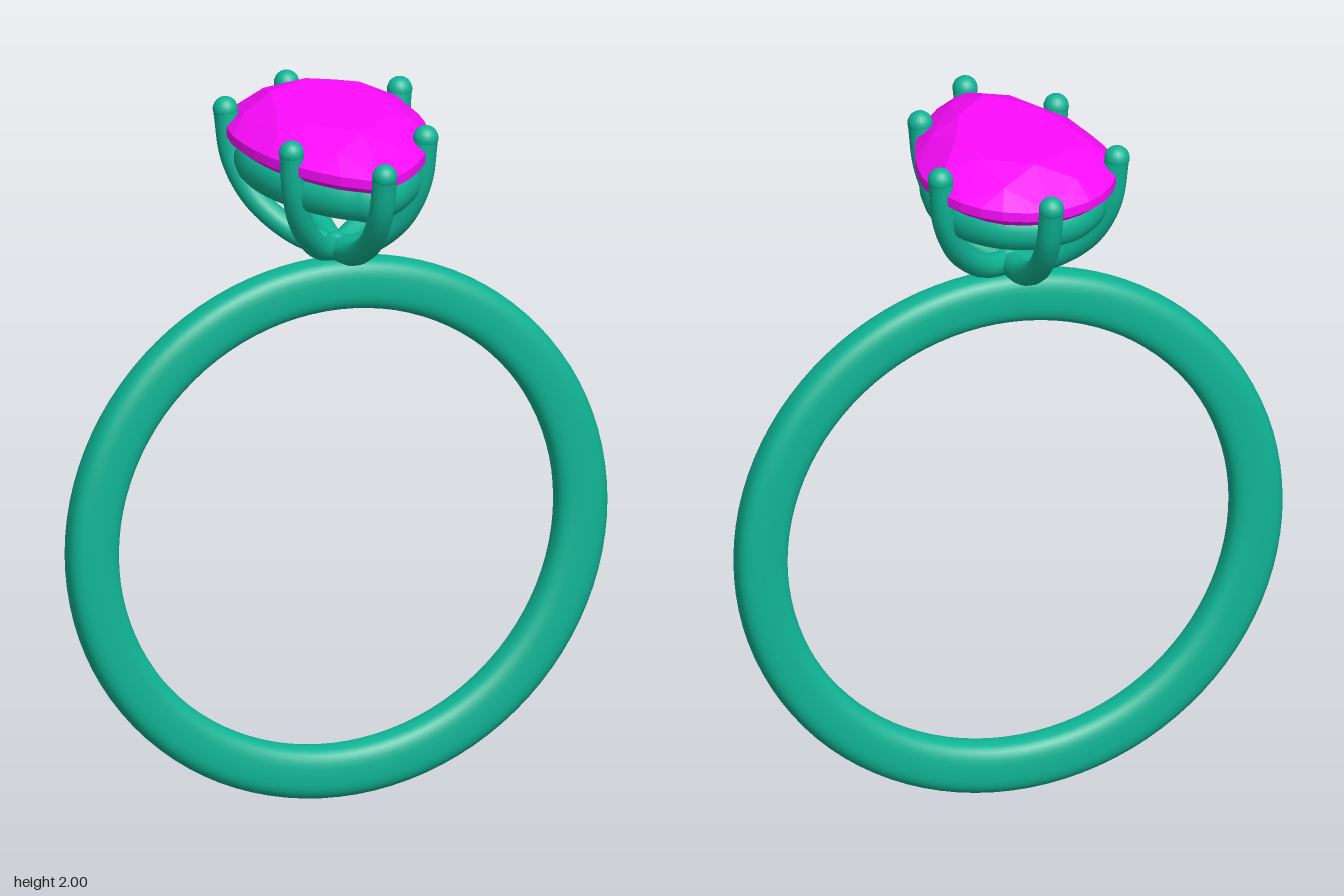
import * as THREE from 'three';
import { ConvexGeometry } from 'three/addons/geometries/ConvexGeometry.js';

const V = (x, y, z) => new THREE.Vector3(x, y, z);

// Half of the pear outline, from the rounded back to the pointed front
const halfPear = new THREE.CatmullRomCurve3([
  [0, -0.405], [0.11, -0.375], [0.195, -0.305], [0.25, -0.205], [0.27, -0.1],
  [0.262, 0], [0.237, 0.1], [0.19, 0.21], [0.105, 0.33], [0, 0.415],
].map(([x, z]) => V(x, 0, z)));

// Closed pear ring of 2n points, scaled about (0, cz) and set at height y
function pearRing(n, sx, sz, y, cz = 0, shift = 0) {
  const ring = [];
  for (let i = 0; i < 2 * n; i++) {
    let t = (i + shift) / n;
    const side = t > 1 ? -1 : 1;
    if (t > 1) t = 2 - t;
    const p = halfPear.getPointAt(Math.max(0, t));
    ring.push(V(side * p.x * sx, y, cz + (p.z - cz) * sz));
  }
  return ring;
}

export function createModel() {
  const model = new THREE.Group();
  const metal = new THREE.MeshStandardMaterial({ color: 0x0fb595 });
  const stone = new THREE.MeshStandardMaterial({ color: 0xff0cff, flatShading: true });

  const add = (name, geometry, material = metal, parent = model) => {
    const mesh = new THREE.Mesh(geometry, material);
    mesh.name = name;
    parent.add(mesh);
    return mesh;
  };

  // Band: soft-cornered section revolved about the finger axis
  const section = [];
  for (let i = 0; i <= 32; i++) {
    const a = Math.PI + (i / 32) * Math.PI * 2;
    const soft = (v) => Math.sign(v) * Math.abs(v) ** (2 / 2.9);
    section.push(new THREE.Vector2(0.709 + 0.073 * soft(Math.cos(a)), 0.055 * soft(Math.sin(a))));
  }
  const band = new THREE.LatheGeometry(section, 96);
  band.rotateX(Math.PI / 2);
  band.translate(0, 0.782, 0);
  add('band', band);

  // Gallery rail: oval-section pear loop below the stone
  const railPath = new THREE.CatmullRomCurve3(pearRing(16, 0.79, 0.79, 0), true);
  const rail = new THREE.TubeGeometry(railPath, 96, 0.042, 14, true);
  rail.scale(1, 1.33, 1);
  rail.translate(0, 1.83, 0);
  add('galleryRail', rail);

  // Six prongs rising from the top of the band, each with a round tip
  const prongs = new THREE.Group();
  prongs.name = 'prongs';
  model.add(prongs);
  const tips = [
    [0, 1.935, -0.415], [0, 1.935, 0.41],
    [0.253, 1.96, -0.197], [-0.253, 1.96, -0.197],
    [0.195, 1.953, 0.19], [-0.195, 1.953, 0.19],
  ];
  for (const [x, y, z] of tips) {
    const path = new THREE.CatmullRomCurve3([
      [0, 1.592], [0.37, 1.625], [0.73, 1.71], [0.93, 1.82], [1, y],
    ].map(([f, h]) => V(x * f, h, z * f)));
    add('prong', new THREE.TubeGeometry(path, 32, 0.034, 14), metal, prongs);
    add('prongTip', new THREE.SphereGeometry(0.035, 18, 12), metal, prongs).position.set(x, y, z);
  }
  add('prongBase', new THREE.SphereGeometry(0.042, 20, 14)).position.set(0, 1.597, 0);

  // Pear-cut stone: table, crown, girdle, pavilion and culet
  const cz = -0.05;
  add('stone', new ConvexGeometry([
    ...pearRing(4, 0.6, 0.58, 2.0, cz),
    ...pearRing(4, 0.83, 0.82, 1.966, cz, 0.5),
    ...pearRing(16, 1, 1, 1.92),
    ...pearRing(16, 1, 1, 1.893),
    ...pearRing(4, 0.6, 0.6, 1.8, cz, 0.5),
    V(0, 1.69, -0.09),
  ]), stone);

  return model;
}
